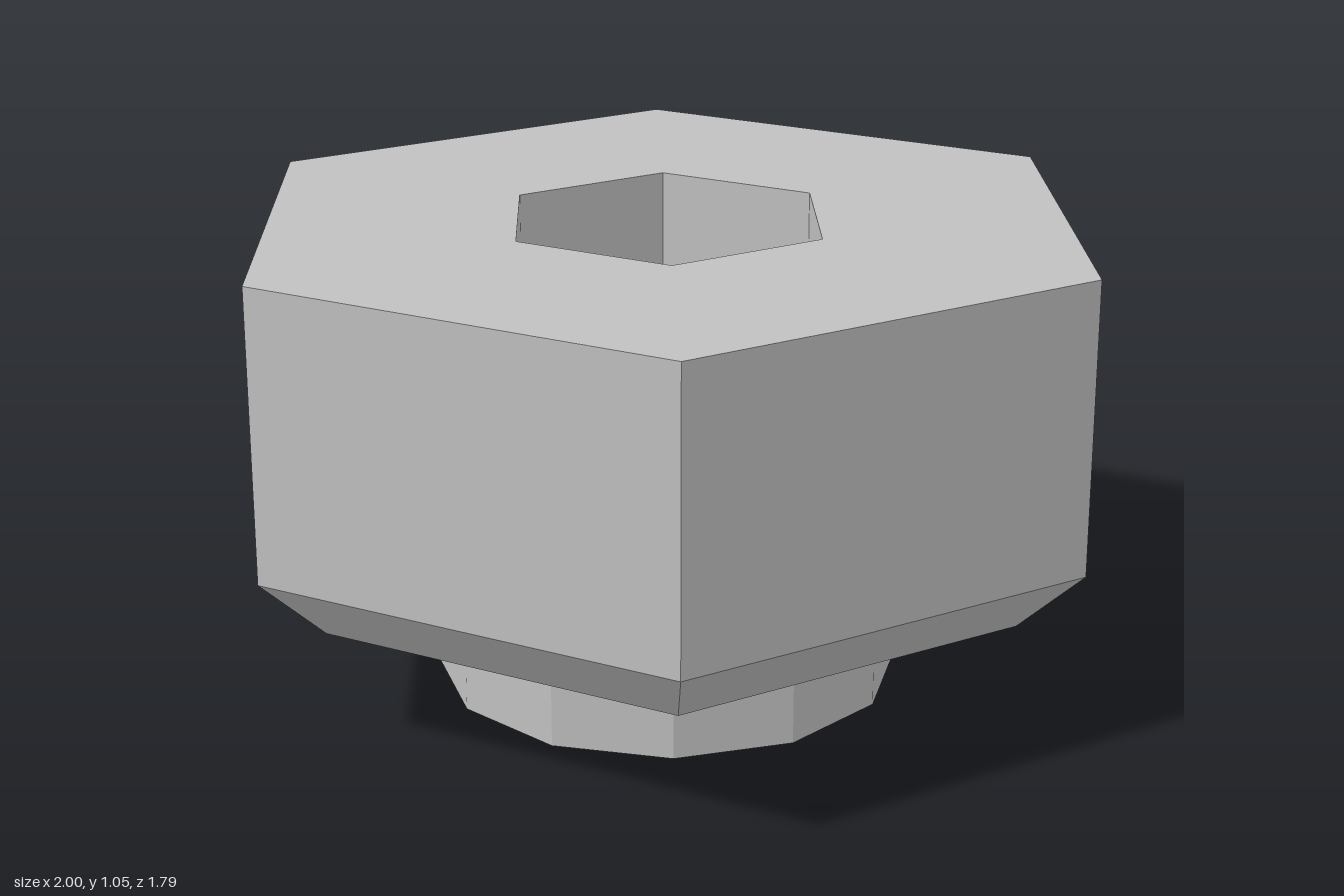
import * as THREE from 'three';

// Faceted solid of revolution with one corner on +x
function facetedLathe(profile, sides, material, name) {
  const points = profile.map(([r, y]) => new THREE.Vector2(r, y));
  const mesh = new THREE.Mesh(new THREE.LatheGeometry(points, sides, Math.PI / 2), material);
  mesh.name = name;
  return mesh;
}

export function createModel() {
  const model = new THREE.Group();
  model.name = 'hexSocketBolt';

  const steel = new THREE.MeshStandardMaterial({ color: 0xc0c0c0, flatShading: true });
  steel.name = 'steel grey';

  const bottom = 0.258, top = 1.053, floor = 0.4;
  const socketRadius = 0.375, shankRadius = 0.52;

  // Hexagonal head: underside, chamfer, flats and top ring
  const head = facetedLathe(
    [[shankRadius * 0.9, bottom], [0.85, bottom], [1.001, 0.402], [1.001, top], [socketRadius, top]],
    6, steel, 'head');

  // Hexagonal socket sunk into the head
  const socket = facetedLathe(
    [[socketRadius, top], [socketRadius, floor], [0, floor]], 6, steel, 'socket');

  // Short twelve-sided shank below the head
  const shank = facetedLathe(
    [[0, 0], [shankRadius, 0], [shankRadius, bottom]], 12, steel, 'shank');

  model.add(head, socket, shank);

  // Slight turn shared by all parts
  model.rotation.y = -THREE.MathUtils.degToRad(3.3);
  return model;
}
